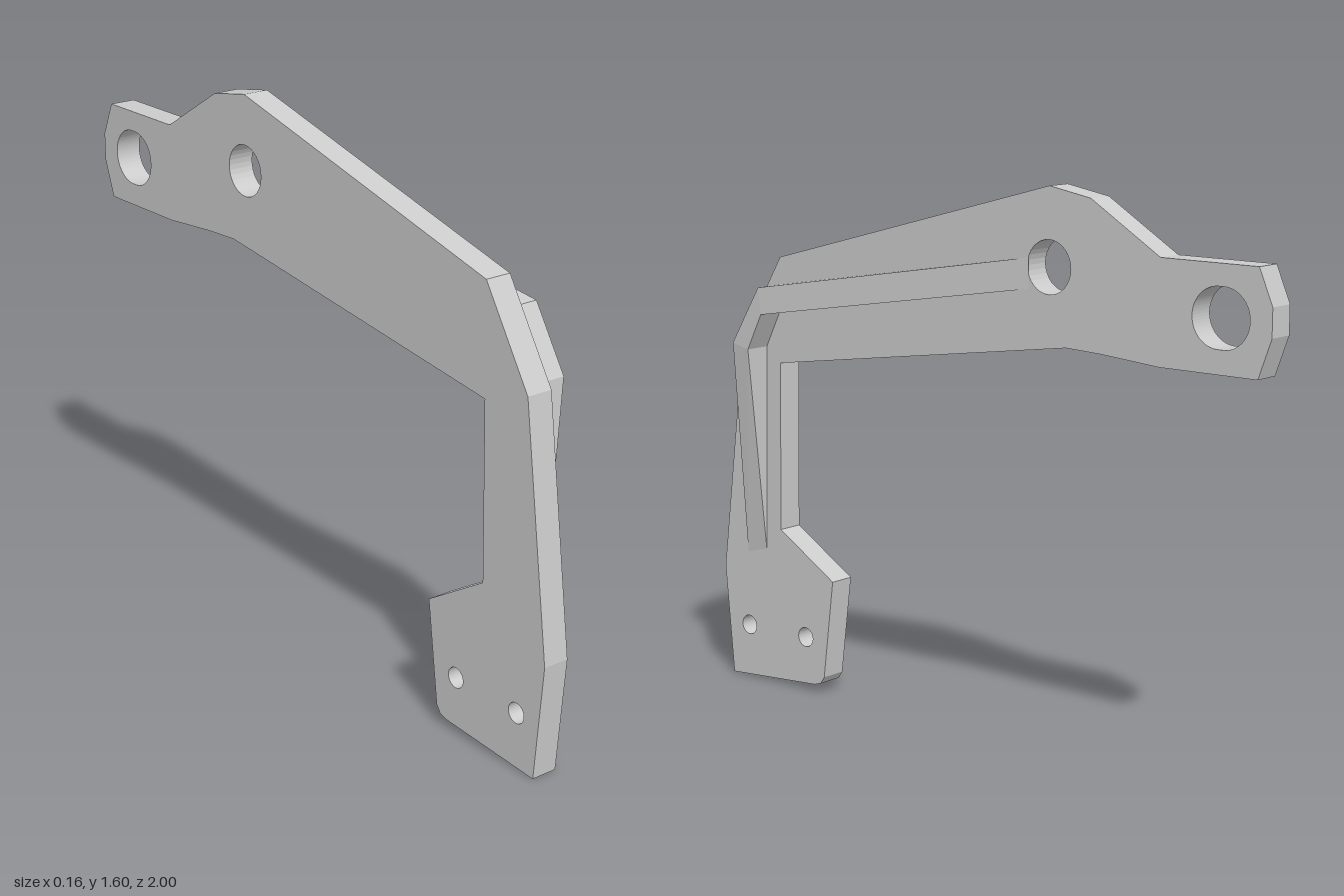
import * as THREE from 'three';

const T = 0.08; // plate thickness and rib height

// Side profile points are written as [z, y]
const PLATE = [
  [0.97, 0], [0.62, 0.025], [0.595, 0.033], [0.58, 0.055], [0.54, 0.36], [0.755, 0.49],
  [0.745, 1.005], [-0.34, 1.16], [-0.46, 1.155], [-0.65, 1.14], [-0.96, 1.14], [-1, 1.25],
  [-1, 1.33], [-0.957, 1.43], [-0.65, 1.43], [-0.42, 1.57], [-0.28, 1.595],
  [0.74, 1.325], [0.905, 1.06], [1, 0.34],
];

// Circular hole, stretched along z into a slot when half > 0
function hole(z, y, r, half = 0) {
  const p = new THREE.Path();
  if (half > 0) {
    p.absarc(-z + half, y, r, -Math.PI / 2, Math.PI / 2, false);
    p.absarc(-z - half, y, r, Math.PI / 2, Math.PI * 1.5, false);
    p.closePath();
  } else {
    p.absarc(-z, y, r, 0, Math.PI * 2, false);
  }
  return p;
}

function plateGeometry() {
  const shape = new THREE.Shape(PLATE.map(([z, y]) => new THREE.Vector2(-z, y)));
  shape.holes.push(
    hole(-0.28, 1.375, 0.075), hole(-0.843, 1.288, 0.082, 0.008),
    hole(0.898, 0.165, 0.03), hole(0.656, 0.168, 0.03));
  const geo = new THREE.ExtrudeGeometry(shape, { depth: T, bevelEnabled: false, curveSegments: 16 });
  return geo.rotateY(Math.PI / 2).translate(-T, 0, 0);
}

// Rib follows the bend and fades into the plate at both ends
function ribGeometry() {
  const stations = [
    { outer: [0.897, 0.4], inner: [0.817, 0.42], h: 0 },
    { outer: [0.865, 1.065], inner: [0.802, 1.05], h: T },
    { outer: [0.755, 1.24], inner: [0.745, 1.16], h: T },
    { outer: [-0.21, 1.396], inner: [-0.21, 1.31], h: 0 },
  ];
  const rings = stations.map(({ outer: [oz, oy], inner: [iz, iy], h }) => [
    new THREE.Vector3(0, oy, oz), new THREE.Vector3(h, oy, oz),
    new THREE.Vector3(h, iy, iz), new THREE.Vector3(0, iy, iz),
  ]);
  const points = [];
  const tri = (a, b, c) => {
    if (new THREE.Triangle(a, b, c).getArea() > 1e-6) points.push(a, b, c);
  };
  for (let i = 0; i < rings.length - 1; i++) {
    const p = rings[i], q = rings[i + 1];
    for (let k = 0; k < 3; k++) { // outer wall, crest, inner wall
      tri(p[k], p[k + 1], q[k + 1]);
      tri(p[k], q[k + 1], q[k]);
    }
  }
  const geo = new THREE.BufferGeometry().setFromPoints(points);
  geo.computeVertexNormals();
  return geo;
}

export function createModel() {
  const group = new THREE.Group();
  group.name = 'bracket';
  const material = new THREE.MeshStandardMaterial({ color: 0xcccccc, flatShading: true });
  const add = (name, geo) => {
    const mesh = new THREE.Mesh(geo, material);
    mesh.name = name;
    group.add(mesh);
  };
  add('plate', plateGeometry());
  add('stiffeningRib', ribGeometry());
  return group;
}
